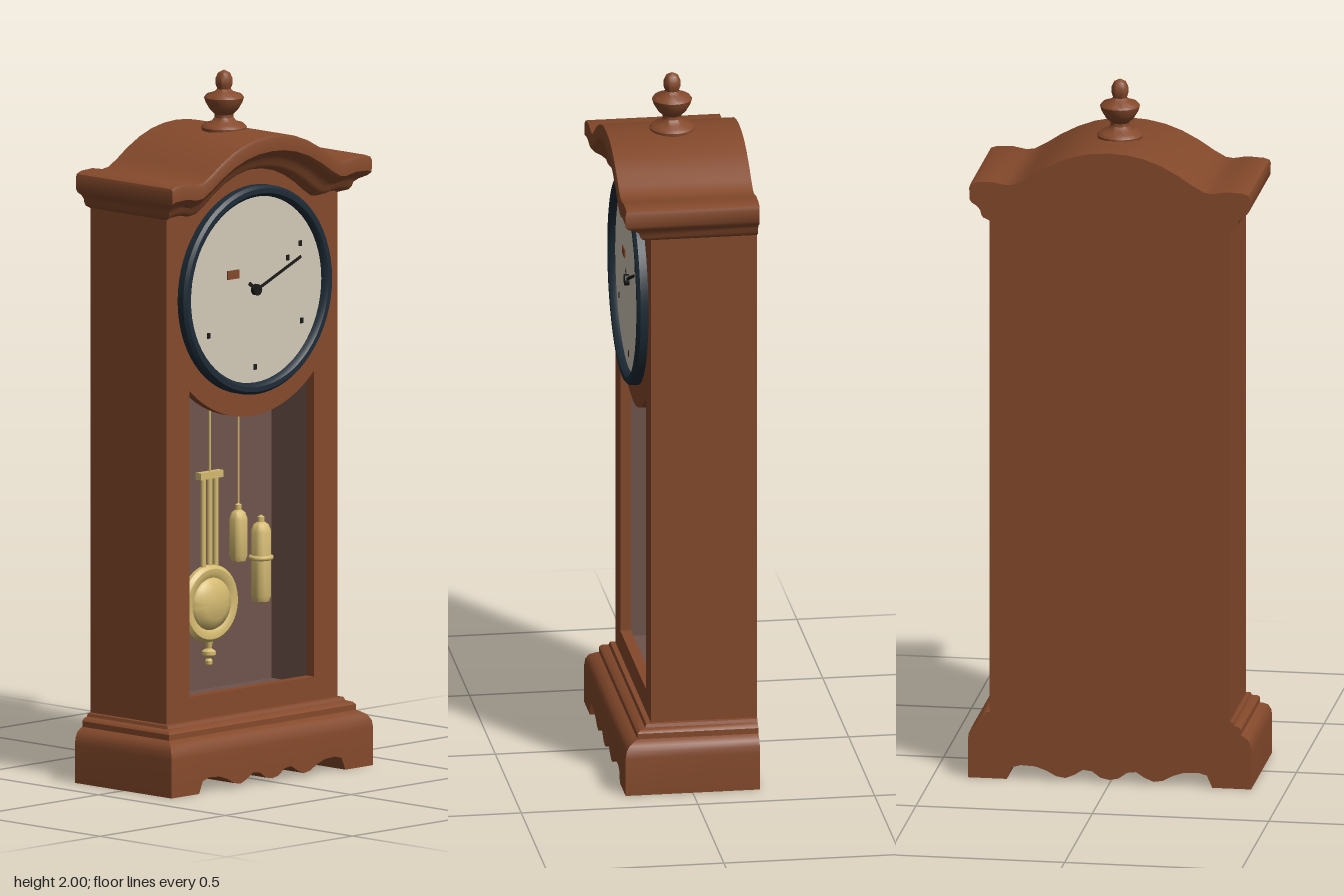
import * as THREE from 'three';
import { toCreasedNormals } from 'three/addons/utils/BufferGeometryUtils.js';

const mat = (name, color, side = THREE.FrontSide) => {
  const m = new THREE.MeshStandardMaterial({ color, side });
  m.name = name;
  return m;
};

// Half outlines as [x, y]: the crown's arched top and the plinth's scalloped foot
const ARCH = [[0, 1.835], [0.05, 1.832], [0.1, 1.822], [0.15, 1.804], [0.2, 1.778], [0.24, 1.752],
  [0.275, 1.733], [0.3, 1.73], [0.34, 1.737], [0.385, 1.735], [0.4, 1.73]];
const SCALLOP = [[0, 0.01], [0.025, 0.015], [0.05, 0.033], [0.075, 0.036], [0.1, 0.02], [0.125, 0.01],
  [0.15, 0.014], [0.18, 0.03], [0.21, 0.04], [0.25, 0.042], [0.275, 0.035], [0.29, 0], [0.4, 0]];
const mirrored = (half) => [...half.slice(1).reverse().map(([x, y]) => [-x, y]), ...half];

// Stacks rectangular rings; every ring is a list of [x, y] along the front, repeated at the back
function loftRings(rings, zBack) {
  const n = rings[0].pts.length, pos = [], idx = [];
  for (const { pts, z } of rings) {
    for (const [x, y] of pts) pos.push(x, y, z);
    for (const [x, y] of [...pts].reverse()) pos.push(x, y, zBack);
  }
  const m = 2 * n, top = (rings.length - 1) * m;
  for (let k = 0; k < rings.length - 1; k++) {
    for (let i = 0; i < m; i++) {
      const a = k * m + i, b = k * m + (i + 1) % m;
      idx.push(a, b, b + m, a, b + m, a + m);
    }
  }
  for (let i = 0; i < n - 1; i++) {
    const f = i, g = i + 1, p = m - 1 - i, q = m - 2 - i;
    idx.push(top + f, top + g, top + q, top + f, top + q, top + p);
    idx.push(f, q, g, f, p, q);
  }
  const geo = new THREE.BufferGeometry();
  geo.setAttribute('position', new THREE.Float32BufferAttribute(pos, 3));
  geo.setIndex(idx);
  return toCreasedNormals(geo, 0.6);
}

const lathe = (pts, seg = 32) => toCreasedNormals(
  new THREE.LatheGeometry(pts.map(([r, y]) => new THREE.Vector2(r, y)), seg), 0.7);

export function createModel() {
  const model = new THREE.Group();
  model.name = 'longcaseClock';
  const wood = mat('wood', 0x84492b, THREE.DoubleSide);
  const lining = mat('caseLining', 0x6e544c);
  const bezelMat = mat('bezelBlue', 0x1d2b36);
  const cream = mat('dialCream', 0xd2cab8);
  const brass = mat('brass', 0xd3b970, THREE.DoubleSide);
  const black = mat('black', 0x1c1a18);

  const add = (name, geo, material, x = 0, y = 0, z = 0, parent = model) => {
    const mesh = new THREE.Mesh(geo, material);
    mesh.name = name;
    mesh.position.set(x, y, z);
    parent.add(mesh);
    return mesh;
  };
  const box = (name, w, h, d, material, x, y, z, parent) =>
    add(name, new THREE.BoxGeometry(w, h, d), material, x, y, z, parent);

  // Case: solid back, hollow middle and a front panel with the window
  const caseShape = (hole) => {
    const s = new THREE.Shape();
    s.moveTo(-0.34, 0.17);
    s.lineTo(0.34, 0.17);
    for (const [x, y] of mirrored(ARCH).reverse()) s.lineTo(x * 0.85, y - 0.09);
    s.closePath();
    if (hole) s.holes.push(hole);
    return s;
  };
  const slab = (name, hole, z0, z1) => add(name, new THREE.ExtrudeGeometry(caseShape(hole),
    { depth: z1 - z0, bevelEnabled: false, curveSegments: 32 }), wood, 0, 0, z0);
  const cavity = new THREE.Path([[-0.3, 0.22], [-0.3, 1.5], [0.3, 1.5], [0.3, 0.22]]
    .map(([x, y]) => new THREE.Vector2(x, y)));
  const windowHole = new THREE.Path();
  const a = Math.asin(0.248 / 0.36);
  windowHole.moveTo(-0.248, 0.26);
  windowHole.lineTo(0.248, 0.26);
  windowHole.lineTo(0.248, 1.39 - 0.36 * Math.cos(a));
  windowHole.absarc(0, 1.39, 0.36, -Math.PI / 2 + a, -Math.PI / 2 - a, true);
  windowHole.closePath();
  slab('caseBack', null, -0.19, -0.11);
  slab('caseSides', cavity, -0.11, 0.08);
  slab('caseFront', windowHole, 0.08, 0.11);

  // Lining of the pendulum compartment
  box('liningBack', 0.6, 1.28, 0.006, lining, 0, 0.86, -0.107);
  box('liningFloor', 0.6, 0.006, 0.19, lining, 0, 0.223, -0.015);
  for (const s of [-1, 1]) box('liningSide', 0.006, 1.28, 0.19, lining, s * 0.297, 0.86, -0.015);

  // Arched crown: [outset, drop below the arch] from bottom to top
  const arch = mirrored(ARCH);
  add('crown', loftRings([[0, 0.105], [0.025, 0.097], [0.033, 0.088], [0.037, 0.075], [0.05, 0.064],
    [0.07, 0.055], [0.079, 0.045], [0.08, 0.012], [0.076, 0.002], [0.07, 0]].map(([o, d]) => ({
    z: 0.11 + o, pts: arch.map(([x, y]) => [x / 0.4 * (0.34 + o * 0.72), y - d]),
  })), -0.19), wood);

  // Plinth with scalloped foot: [outset, height]
  const foot = mirrored(SCALLOP);
  add('plinth', loftRings([[0.08, 0], [0.08, 0.108], [0.077, 0.128], [0.068, 0.143], [0.052, 0.152],
    [0.042, 0.156], [0.042, 0.172], [0.034, 0.179], [0.018, 0.183], [0.014, 0.192], [0, 0.193]].map(([o, h]) => ({
    z: 0.11 + o, pts: foot.map(([x, y]) => [x / 0.4 * (0.34 + o * 0.77), h || y]),
  })), -0.19), wood);

  // Turned finial
  add('finial', lathe([[0.062, 1.82], [0.064, 1.838], [0.055, 1.848], [0.036, 1.853], [0.026, 1.865],
    [0.026, 1.874], [0.04, 1.888], [0.052, 1.908], [0.056, 1.922], [0.05, 1.93], [0.028, 1.937],
    [0.019, 1.946], [0.024, 1.96], [0.024, 1.975], [0.017, 1.991], [0, 2]]), wood);

  // Dial with bezel, hands and marks
  const dial = new THREE.Group();
  dial.name = 'dial';
  dial.position.set(0, 1.39, 0.11);
  model.add(dial);
  const bezel = add('bezel', lathe([[0.296, 0], [0.296, 0.022], [0.288, 0.031], [0.274, 0.031],
    [0.265, 0.022], [0.263, 0]], 64), bezelMat, 0, 0, 0, dial);
  bezel.rotation.x = Math.PI / 2;
  add('dialFace', new THREE.CircleGeometry(0.268, 64), cream, 0, 0, 0.012, dial);
  const hand = (name, length, width, angle, z) => {
    const g = new THREE.BoxGeometry(length, width, 0.003).translate(length / 2, 0, 0);
    add(name, g, black, 0, 0, z, dial).rotation.z = angle;
  };
  hand('minuteHand', 0.19, 0.008, 0.4, 0.02);
  hand('hourHand', 0.035, 0.01, 2.5, 0.017);
  add('handHub', new THREE.CylinderGeometry(0.016, 0.016, 0.014, 16).rotateX(Math.PI / 2), black, 0, 0, 0.018, dial);
  box('dialPlate', 0.045, 0.025, 0.004, wood, -0.088, 0.052, 0.013, dial);
  for (const [x, y] of [[-0.185, -0.11], [0.185, -0.11], [0, -0.22], [0.18, 0.11], [0.13, 0.075]])
    box('dialMark', 0.012, 0.016, 0.003, black, x, y, 0.0125, dial);

  // Pendulum
  const pendulum = new THREE.Group();
  pendulum.name = 'pendulum';
  pendulum.position.z = -0.06;
  model.add(pendulum);
  const rod = (name, r, y0, y1, x, material, parent) => add(name,
    new THREE.CylinderGeometry(r, r, y1 - y0, 12), material, x, (y0 + y1) / 2, 0, parent);
  rod('suspension', 0.003, 0.85, 1.3, 0.004, brass, pendulum);
  box('crossbar', 0.09, 0.02, 0.02, brass, 0.003, 0.842, 0, pendulum);
  for (const x of [-0.022, 0.003, 0.028]) rod('pendulumRod', 0.008, 0.56, 0.84, x, brass, pendulum);
  const bob = add('bob', lathe([[0, -0.02], [0.09, -0.016], [0.11, -0.006], [0.11, 0.006], [0.1, 0.016],
    [0.085, 0.016], [0.074, 0.01], [0.07, 0.018], [0.045, 0.03], [0, 0.036]], 48), brass, 0, 0.477, 0, pendulum);
  bob.rotation.x = Math.PI / 2;
  add('bobFinial', lathe([[0, 0.298], [0.01, 0.305], [0.011, 0.315], [0.006, 0.322], [0.02, 0.332],
    [0.02, 0.342], [0.008, 0.35], [0.012, 0.37]], 16), brass, 0, 0, 0, pendulum);

  // Hanging weights: [x, bottom, top, radius]
  for (const [x, y0, y1, r] of [[0.113, 0.58, 0.745, 0.026], [0.203, 0.455, 0.7, 0.029]]) {
    const weight = new THREE.Group();
    weight.name = 'weight';
    weight.position.set(x, 0, -0.055);
    model.add(weight);
    add('weightBody', lathe([[0, y0], [r * 0.8, y0 + 0.006], [r, y0 + 0.022], [r, y1 - 0.04],
      [r * 0.75, y1 - 0.022], [r * 0.35, y1 - 0.014], [r * 0.35, y1], [0, y1 + 0.006]], 20), brass, 0, 0, 0, weight);
    if (x < 0.2) rod('weightCord', 0.0025, y1, 1.3, 0, brass, weight);
    else add('weightBand', new THREE.TorusGeometry(r, 0.007, 8, 20).rotateX(Math.PI / 2), brass, 0, 0.585, 0, weight);
  }
  return model;
}
